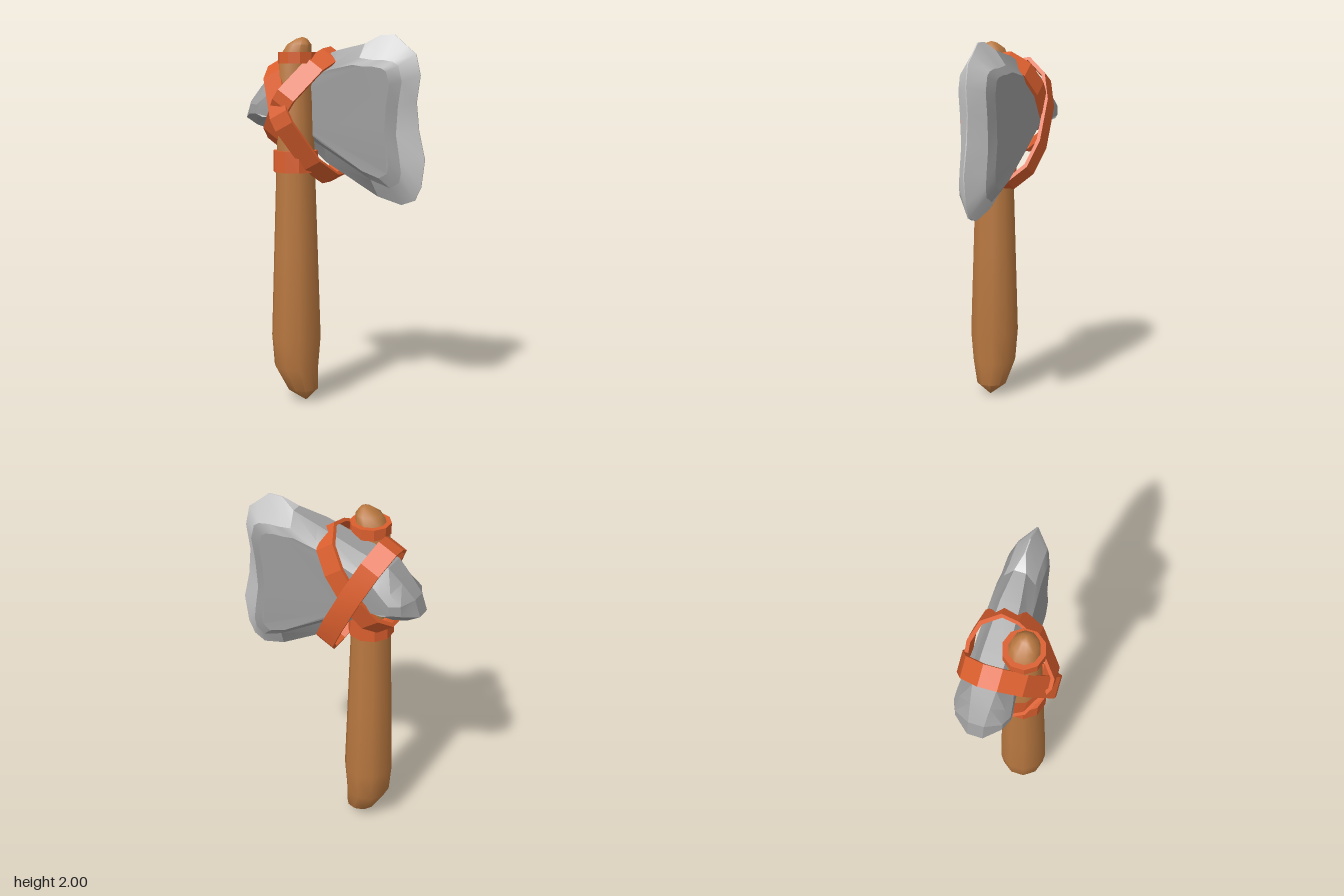
import * as THREE from 'three';
import { toCreasedNormals } from 'three/addons/utils/BufferGeometryUtils.js';

const material = (name, color) => {
  const m = new THREE.MeshStandardMaterial({ color });
  m.name = name;
  return m;
};

export function createModel() {
  const wood = material('wood', 0xb97840);
  const leather = material('leather', 0xdb5f2e);
  const stone = material('stone', 0x9c9c9c);
  const edgeStone = material('chipped stone', 0xc6c6c6);

  const group = new THREE.Group();
  group.name = 'stoneAxe';
  const add = (name, geometry, mat, crease = 0.1) => {
    const mesh = new THREE.Mesh(toCreasedNormals(geometry, crease), mat);
    mesh.name = name;
    group.add(mesh);
    return mesh;
  };
  const lathe = (pts) => new THREE.LatheGeometry(pts.map(([r, y]) => new THREE.Vector2(r, y)), 10);

  // Handle: turned club whose two ends lean to one side
  const handle = lathe([[0, 0], [0.085, 0.065], [0.122, 0.19], [0.136, 0.36], [0.122, 0.8],
    [0.107, 1.27], [0.088, 1.88], [0.066, 1.95], [0.03, 1.98], [0, 1.99]]);
  const p = handle.attributes.position;
  for (let i = 0; i < p.count; i++) {
    const y = p.getY(i);
    const lean = 0.06 * Math.max(0, 1 - y / 0.19) + 0.5 * Math.max(0, y - 1.9);
    p.setX(i, p.getX(i) + lean);
  }
  add('handle', handle, wood, 0.9).position.set(-0.172, 0, 0.067);

  // Leather collars above and below the head
  const collar = (name, x, y0, y1, r) =>
    add(name, lathe([[r - 0.03, y0], [r, y0], [r, y1], [r - 0.03, y1], [r - 0.03, y0]]), leather)
      .position.set(x, 0, 0.065);
  collar('upperCollar', -0.16, 1.85, 1.91, 0.106);
  collar('lowerCollar', -0.173, 1.27, 1.385, 0.122);

  // Crossed straps: angular loops lashed around handle and head
  const loop = [[1, -0.09], [0.95, 0.0], [0.75, 0.11], [0.1, 0.235], [-0.1, 0.235], [-0.75, 0.13],
    [-1, 0.0], [-1, -0.1], [-0.75, -0.19], [-0.33, -0.235], [0.33, -0.235], [0.75, -0.19]];
  const strap = (name, [x0, y0], [x1, y1], grow) => {
    const half = Math.hypot(x1 - x0, y1 - y0) / 2, width = 0.11;
    const ring = (inset) => loop.map(([u, z]) =>
      new THREE.Vector2(u * (half - inset), z * (grow - inset / 0.24)));
    const shape = new THREE.Shape(ring(0));
    shape.holes.push(new THREE.Path(ring(0.02)));
    const g = new THREE.ExtrudeGeometry(shape, { depth: width, bevelEnabled: false });
    g.translate(0, 0, -width / 2);
    const d = new THREE.Vector3(x1 - x0, y1 - y0, 0).normalize();
    const z = new THREE.Vector3(0, 0, 1);
    g.applyMatrix4(new THREE.Matrix4().makeBasis(d, z, d.clone().cross(z)));
    add(name, g, leather, 0.3).position.set((x0 + x1) / 2, (y0 + y1) / 2, 0);
  };
  strap('risingStrap', [-0.335, 1.41], [0.01, 1.91], 0.97);
  strap('fallingStrap', [0.005, 1.23], [-0.335, 1.875], 1.04);

  // Head: rim x, y, half thickness; then shoulder x, y, half thickness
  const rows = [
    [0.27, 1.145, 0.03, 0.25, 1.24, 0.085], [0.4, 1.105, 0.015, 0.36, 1.2, 0.08],
    [0.47, 1.13, 0, 0.41, 1.23, 0.075], [0.505, 1.2, 0, 0.42, 1.28, 0.075],
    [0.525, 1.35, 0, 0.41, 1.36, 0.075], [0.49, 1.5, 0, 0.39, 1.48, 0.075],
    [0.475, 1.65, 0, 0.4, 1.63, 0.075], [0.495, 1.79, 0, 0.42, 1.76, 0.075],
    [0.47, 1.9, 0, 0.4, 1.84, 0.075], [0.42, 1.94, 0, 0.37, 1.86, 0.075],
    [0.35, 2, 0, 0.31, 1.87, 0.075], [0.27, 2, 0, 0.25, 1.87, 0.075],
    [0.19, 1.955, 0.03, 0.18, 1.88, 0.08], [0.04, 1.92, 0.05, 0.03, 1.85, 0.085],
    [-0.2, 1.84, 0.06, -0.2, 1.77, 0.095], [-0.36, 1.79, 0.06, -0.34, 1.73, 0.105],
    [-0.43, 1.72, 0.05, -0.4, 1.68, 0.115], [-0.5, 1.64, 0.04, -0.46, 1.63, 0.12],
    [-0.53, 1.55, 0.04, -0.465, 1.575, 0.12], [-0.46, 1.51, 0.04, -0.42, 1.555, 0.12],
    [-0.38, 1.49, 0.04, -0.36, 1.55, 0.11], [-0.24, 1.5, 0.05, -0.23, 1.55, 0.1],
    [-0.03, 1.32, 0.05, -0.02, 1.4, 0.09],
  ];
  const bladeSpans = 12, zMid = -0.068;
  const rim = rows.map(([x, y, e]) => [x, y, Math.max(e, 0.003)]);
  const shoulder = rows.map((r) => r.slice(3));
  const plateau = shoulder.map(([x, y, h]) =>
    [x + (-0.05 - x) * 0.13, y + (1.6 - y) * 0.13, h + 0.025]);
  const body = [], blade = [];
  const tri = (out, ...pts) => pts.forEach(([x, y, z]) => out.push(x, y, zMid + z));
  const back = ([x, y, z]) => [x, y, -z];
  const both = (out, a, b, c) => {
    tri(out, a, b, c);
    tri(out, back(a), back(c), back(b));
  };
  const quads = (out, lower, upper, i, j) => {
    both(out, lower[i], lower[j], upper[j]);
    both(out, lower[i], upper[j], upper[i]);
  };
  rows.forEach((_, i) => {
    const j = (i + 1) % rows.length, out = i < bladeSpans ? blade : body;
    quads(out, rim, shoulder, i, j);
    quads(body, shoulder, plateau, i, j);
    tri(out, back(rim[i]), back(rim[j]), rim[j]);
    tri(out, back(rim[i]), rim[j], rim[i]);
  });
  // Broad faces of the head
  THREE.ShapeUtils.triangulateShape(plateau.map(([x, y]) => new THREE.Vector2(x, y)), [])
    .forEach(([a, b, c]) => both(body, plateau[a], plateau[b], plateau[c]));
  const fromPoints = (pts) => new THREE.BufferGeometry()
    .setAttribute('position', new THREE.Float32BufferAttribute(pts, 3));
  add('axeHead', fromPoints(body), stone, 0.3);
  add('bladeEdge', fromPoints(blade), edgeStone, 0.6);

  return group;
}
